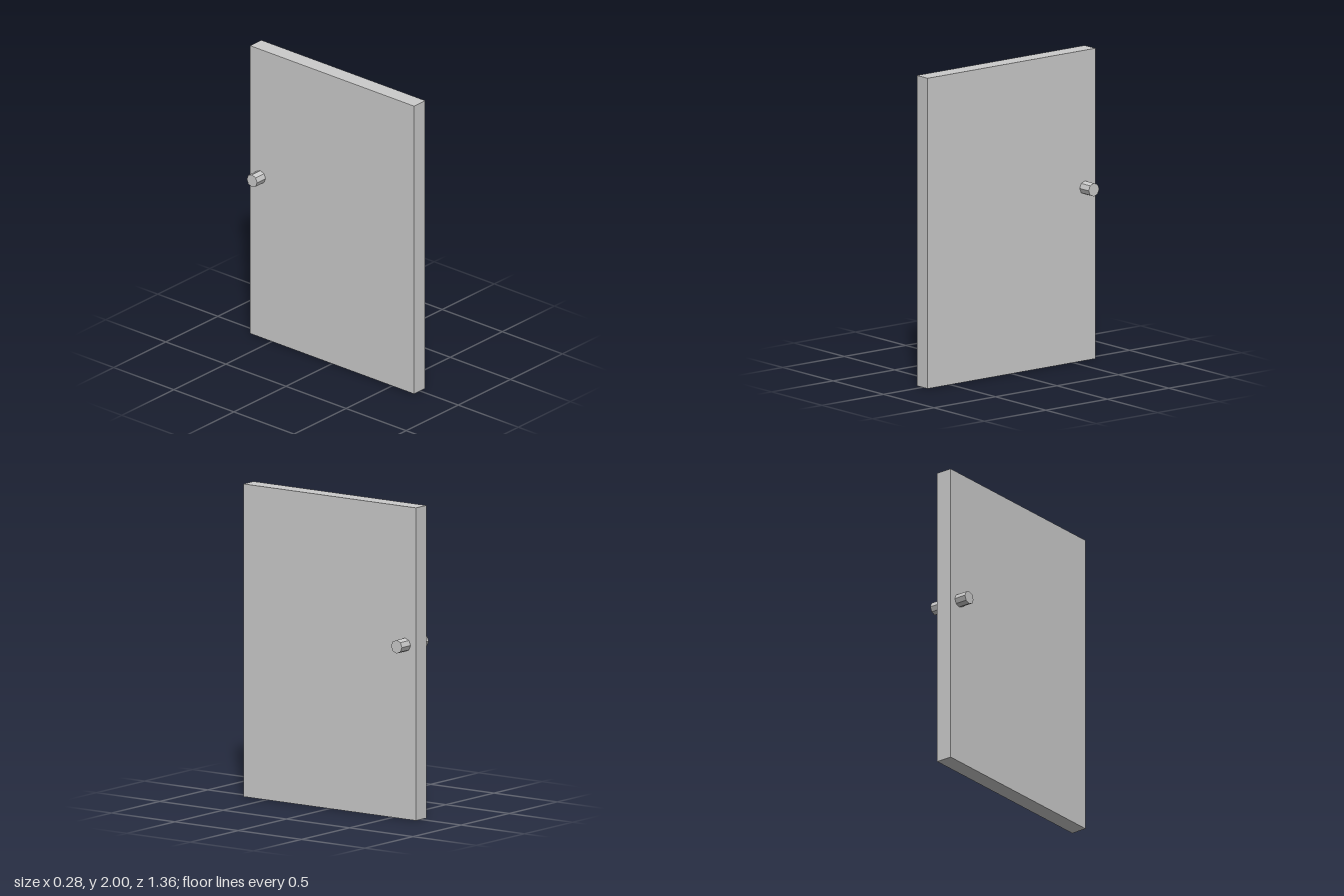
import * as THREE from 'three';

export function createModel() {
  const model = new THREE.Group();
  model.name = 'door';
  const material = new THREE.MeshStandardMaterial({ color: 0xcccccc, flatShading: true });

  // Door slab, standing on the ground and set slightly off the knob's middle
  const panel = new THREE.Mesh(new THREE.BoxGeometry(0.108, 2, 1.364), material);
  panel.name = 'doorPanel';
  panel.position.set(-0.004, 1, 0);
  model.add(panel);

  // Eight-sided knob bar passing through the slab, showing on both faces
  const knob = new THREE.Mesh(new THREE.CylinderGeometry(0.043, 0.043, 0.278, 8), material);
  knob.name = 'doorKnob';
  knob.rotation.z = Math.PI / 2;
  knob.position.set(0, 1.115, -0.596);
  model.add(knob);

  return model;
}
